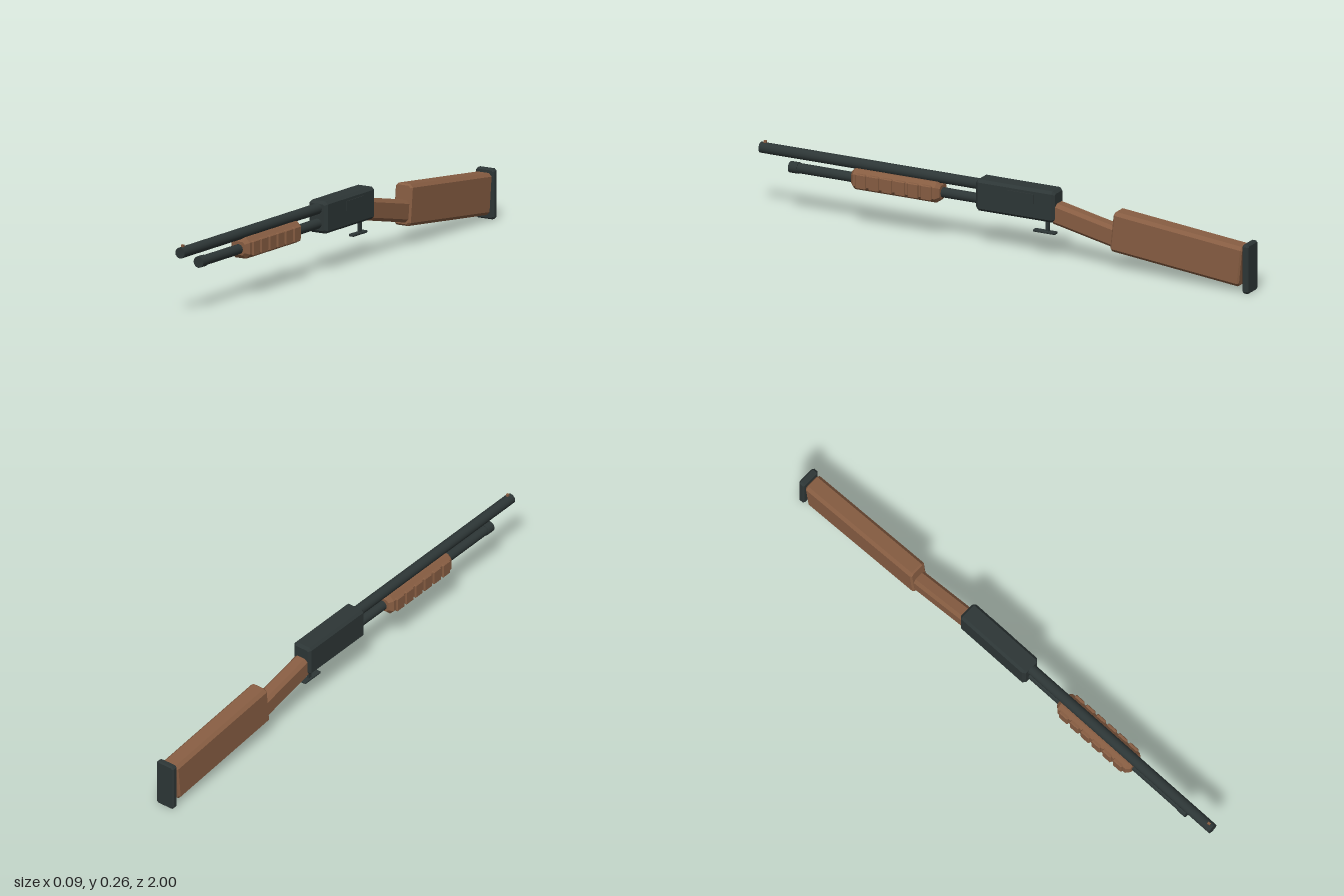
import * as THREE from 'three';

const metal = new THREE.MeshStandardMaterial({ color: 0x2d3636 });
metal.name = 'gunmetal';
const wood = new THREE.MeshStandardMaterial({ color: 0x875d42 });
wood.name = 'wood';

// Box with every edge chamfered: an octagonal section along z with bevelled ends
function chamferBox(w, h, l, c, end = c) {
  const x = w / 2, y = h / 2;
  const s = new THREE.Shape([
    [x - c, -y], [x, -y + c], [x, y - c], [x - c, y],
    [-x + c, y], [-x, y - c], [-x, -y + c], [-x + c, -y],
  ].map(p => new THREE.Vector2(...p)));
  const g = new THREE.ExtrudeGeometry(s, {
    depth: l - 2 * end, bevelEnabled: true, bevelSegments: 1,
    bevelSize: end, bevelOffset: -end, bevelThickness: end,
  });
  return g.translate(0, 0, -l / 2 + end);
}

export function createModel() {
  const model = new THREE.Group();
  model.name = 'pumpActionLongGun';

  function add(name, geometry, material, x, y, z, tilt = 0) {
    const m = new THREE.Mesh(geometry, material);
    m.name = name;
    m.position.set(x, y, z);
    m.rotation.x = tilt;
    model.add(m);
    return m;
  }
  const tube = (name, r, y, z0, z1) => add(name,
    new THREE.CylinderGeometry(r, r, z1 - z0, 16).rotateX(Math.PI / 2),
    metal, 0, y, (z0 + z1) / 2);

  // Barrel, magazine tube and its cap
  tube('barrel', 0.02, 0.235, 0.08, 1);
  tube('magazineTube', 0.0185, 0.18, 0.08, 0.86);
  tube('magazineCap', 0.021, 0.18, 0.845, 0.88);
  add('frontSight', new THREE.BoxGeometry(0.008, 0.012, 0.01), wood, 0, 0.257, 0.982);

  // Receiver with the ejection port cover on its left side
  add('receiver', chamferBox(0.078, 0.118, 0.32, 0.01), metal, 0, 0.204, -0.05);
  add('ejectionPort', new THREE.BoxGeometry(0.006, 0.036, 0.11), metal, 0.039, 0.226, -0.075);

  // Trigger post and foot plate
  add('triggerPost', new THREE.BoxGeometry(0.01, 0.055, 0.014), metal, 0, 0.124, -0.165);
  add('triggerPlate', chamferBox(0.022, 0.009, 0.09, 0.002), metal, 0, 0.0965, -0.155);

  // Sliding fore-end with grip ribs on both sides
  add('foreEnd', chamferBox(0.08, 0.077, 0.36, 0.017, 0.014), wood, 0, 0.1835, 0.44);
  for (let i = 0; i < 6; i++) {
    add('gripRib', chamferBox(0.094, 0.055, 0.042, 0.003), wood, 0, 0.1825, 0.44 + (i - 2.5) * 0.053);
  }

  // Wrist, stock and butt pad
  add('wrist', chamferBox(0.058, 0.08, 0.27, 0.012), wood, 0, 0.151, -0.325, -0.21);
  add('stock', chamferBox(0.073, 0.152, 0.525, 0.012, 0.006), wood, 0, 0.1225, -0.704, -0.103);
  add('buttPad', chamferBox(0.078, 0.185, 0.025, 0.008, 0.005), metal, 0, 0.0925, -0.9875);

  return model;
}
